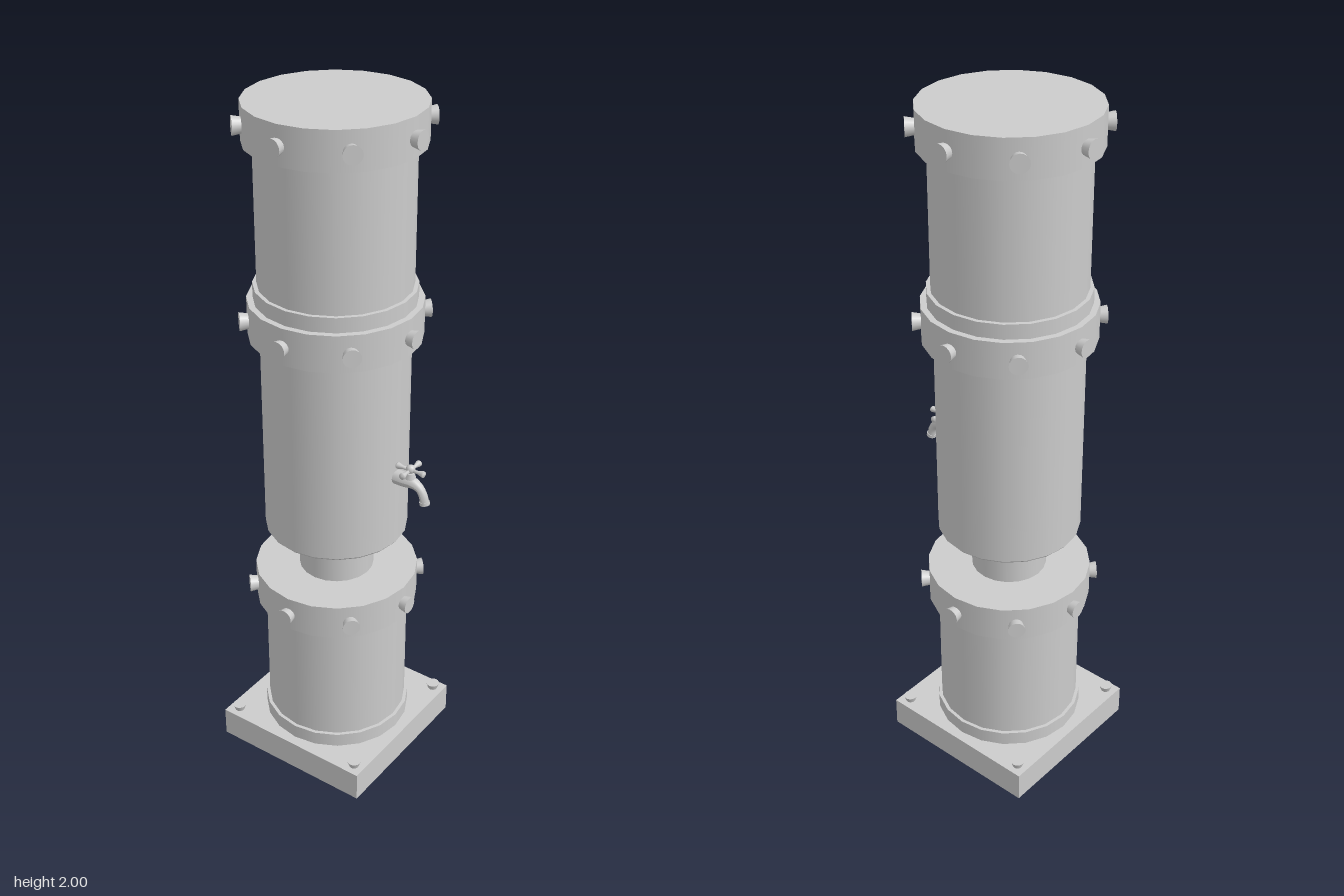
import * as THREE from 'three';

const SIDES = 20;
const CX = -0.0275; // column axis

export function createModel() {
  const model = new THREE.Group();
  const mat = new THREE.MeshStandardMaterial({ color: 0xcccccc });
  const thin = new THREE.MeshStandardMaterial({ color: 0xcccccc, side: THREE.DoubleSide });

  function add(parent, name, geometry, x = 0, y = 0, z = 0, material = mat) {
    const mesh = new THREE.Mesh(geometry, material);
    mesh.name = name;
    mesh.position.set(x, y, z);
    parent.add(mesh);
    return mesh;
  }

  // Upright drum between two heights
  function drum(parent, name, r, y0, y1) {
    return add(parent, name, new THREE.CylinderGeometry(r, r, y1 - y0, SIDES), 0, (y0 + y1) / 2);
  }

  const column = new THREE.Group();
  column.name = 'column';
  column.position.x = CX;
  model.add(column);

  // Square base plate, open underneath
  const baseGeo = new THREE.BoxGeometry(0.497, 0.09, 0.494);
  const index = Array.from(baseGeo.index.array);
  index.splice(18, 6); // drop the bottom face
  baseGeo.setIndex(index);
  add(column, 'basePlate', baseGeo, 0, 0.045, 0, thin);
  for (const sx of [-1, 1]) {
    for (const sz of [-1, 1]) {
      add(column, 'baseBolt', new THREE.CylinderGeometry(0.02, 0.014, 0.018, 16), sx * 0.216, 0.099, sz * 0.215);
    }
  }

  // Stacked drums and collars
  drum(column, 'footRing', 0.218, 0.09, 0.133);
  drum(column, 'lowerDrum', 0.208, 0.09, 0.6);
  drum(column, 'neck', 0.108, 0.6, 0.78);
  drum(column, 'upperRing', 0.219, 1.46, 1.512);
  drum(column, 'upperDrum', 0.208, 1.46, 1.95);

  // Middle drum with a slightly chamfered lower rim
  drum(column, 'middleDrum', 0.204, 0.766, 1.4);
  add(column, 'middleDrumRim', new THREE.CylinderGeometry(0.204, 0.199, 0.006, SIDES), 0, 0.763);

  // Bolted bands, eight flared bolts each
  for (const [y0, y1] of [[0.515, 0.62], [1.365, 1.47], [1.895, 2]]) {
    const band = new THREE.Group();
    band.name = 'boltedBand';
    column.add(band);
    drum(band, 'bandRing', 0.236, y0, y1);
    for (let i = 0; i < 8; i++) {
      const a = (i * Math.PI) / 4;
      const bolt = add(band, 'bandBolt', new THREE.CylinderGeometry(0.025, 0.018, 0.037, 16),
        Math.sin(a) * 0.2385, (y0 + y1) / 2 - 0.002, Math.cos(a) * 0.2385);
      bolt.rotation.set(Math.PI / 2, 0, -a);
    }
  }

  // Tap on the left side of the middle drum
  const tap = new THREE.Group();
  tap.name = 'tap';
  model.add(tap);

  // Spout: a tube that tapers towards its mouth
  const path = new THREE.CatmullRomCurve3([
    [0.168, 0.983], [0.2, 0.983], [0.228, 0.982], [0.25, 0.972], [0.263, 0.952], [0.268, 0.93],
  ].map(([x, y]) => new THREE.Vector3(x, y, 0)));
  const steps = 20, radial = 12;
  const radiusAt = (t) => THREE.MathUtils.lerp(0.021, 0.0125, THREE.MathUtils.smoothstep(t, 0.2, 0.75));
  const spout = new THREE.TubeGeometry(path, steps, 1, radial);
  const pos = spout.attributes.position;
  const v = new THREE.Vector3();
  for (let i = 0; i < pos.count; i++) {
    const t = Math.floor(i / (radial + 1)) / steps;
    const centre = path.getPointAt(t);
    v.fromBufferAttribute(pos, i).sub(centre).multiplyScalar(radiusAt(t)).add(centre);
    pos.setXYZ(i, v.x, v.y, v.z);
  }
  spout.computeVertexNormals();
  add(tap, 'spout', spout, 0, 0, 0, thin);
  const mouth = add(tap, 'spoutMouth', new THREE.CylinderGeometry(0.0145, 0.0145, 0.01, 16), 0.2682, 0.932);
  mouth.rotation.z = 0.2;

  // Valve stem and cross handle
  add(tap, 'valveCollar', new THREE.CylinderGeometry(0.012, 0.016, 0.016, 12), 0.22, 1.003);
  add(tap, 'valveStem', new THREE.CylinderGeometry(0.007, 0.007, 0.03, 12), 0.22, 1.015);
  add(tap, 'handleHub', new THREE.SphereGeometry(0.013, 12, 8), 0.22, 1.023);
  const armProfile = [[0, 0], [0.005, 0], [0.005, 0.018], [0.0095, 0.034], [0.0085, 0.038], [0, 0.04]]
    .map(([x, y]) => new THREE.Vector2(x, y));
  for (let i = 0; i < 4; i++) {
    const arm = new THREE.Group();
    arm.name = 'handleArm';
    arm.position.set(0.22, 1.02, 0);
    arm.rotation.y = (i * Math.PI) / 2;
    tap.add(arm);
    add(arm, 'handleGrip', new THREE.LatheGeometry(armProfile, 12), 0, 0, 0.006).rotation.x = Math.PI / 2;
  }

  return model;
}
